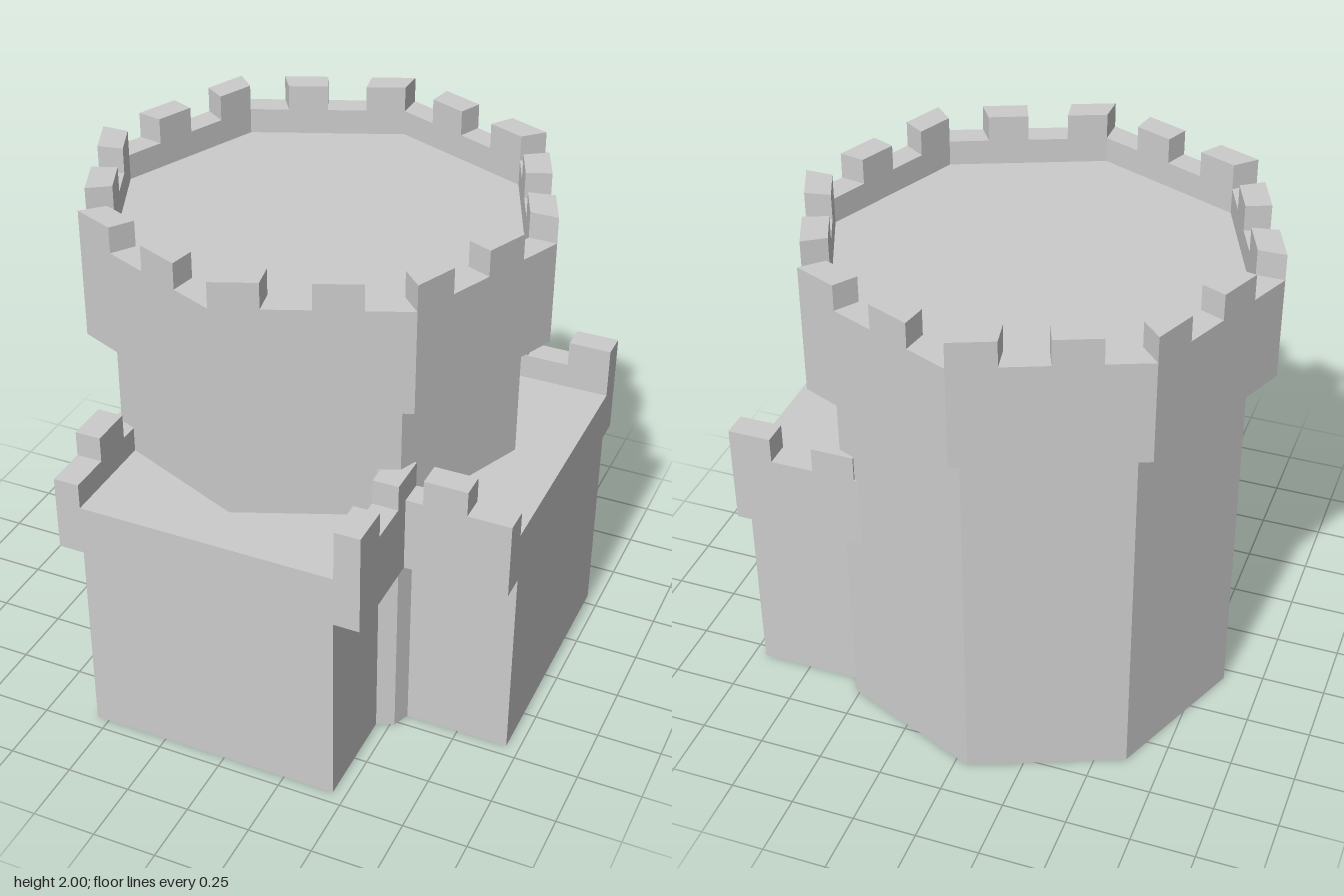
import * as THREE from 'three';

const SIDES = 8, R_SHAFT = 0.8, R_TOP = 0.905;
const mat = new THREE.MeshStandardMaterial({ color: 0xcccccc, flatShading: true });

function add(parent, name, geometry) {
  const mesh = new THREE.Mesh(geometry, mat);
  mesh.name = name;
  parent.add(mesh);
  return mesh;
}

// Box given by its extents
function block(x0, x1, y0, y1, z0, z1) {
  return new THREE.BoxGeometry(x1 - x0, y1 - y0, z1 - z0)
    .translate((x0 + x1) / 2, (y0 + y1) / 2, (z0 + z1) / 2);
}

// Octagonal solid of revolution, profile listed from the bottom up
function octagon(profile) {
  return new THREE.LatheGeometry(profile.map(([r, y]) => new THREE.Vector2(r, y)), SIDES);
}

// Merlon covering the fraction t0..t1 of one octagon side, mitred towards the centre
function merlonGeometry(t0, t1) {
  const a = Math.PI * 2 / SIDES;
  const at = (r, t) => new THREE.Vector2(r * t * Math.sin(a), -r * (1 - t + t * Math.cos(a)));
  const shape = new THREE.Shape([at(R_TOP, t0), at(R_TOP, t1), at(R_SHAFT, t1), at(R_SHAFT, t0)]);
  return new THREE.ExtrudeGeometry(shape, { depth: 0.1, bevelEnabled: false })
    .rotateX(-Math.PI / 2).translate(0, 1.9, 0);
}

// Square wing reaching out along +z with an overhanging parapet on each flank
function createWing() {
  const wing = new THREE.Group();
  add(wing, 'wingBody', block(-0.5, 0.5, 0, 1, 0, 1));
  for (const side of [-1, 1]) {
    const x0 = side > 0 ? 0.5 : -0.6, x1 = x0 + 0.1;
    add(wing, 'wingParapet', block(x0, x1, 0.8, 1.1, 0, 1));
    // Merlons alternate with gaps; the two flanks are offset by one step
    for (let i = side > 0 ? 3 : 2; i < 6; i += 2) {
      add(wing, 'wingMerlon', block(x0, x1, 1.1, 1.2, i / 6, (i + 1) / 6));
    }
  }
  return wing;
}

export function createModel() {
  const model = new THREE.Group();
  model.name = 'castleTower';

  const tower = new THREE.Group();
  tower.name = 'tower';
  tower.position.set(-0.05, 0, -0.05);
  model.add(tower);

  // Shaft and the wider crown with its sunken roof
  add(tower, 'shaft', octagon([[0, 0], [R_SHAFT, 0], [R_SHAFT, 1.5]]));
  add(tower, 'crown', octagon([
    [0, 1.5], [R_TOP, 1.5], [R_TOP, 1.9], [R_SHAFT, 1.9], [R_SHAFT, 1.8], [0, 1.8],
  ]));

  // Two merlons on every side of the crown
  const merlons = [merlonGeometry(0, 0.25), merlonGeometry(0.5, 0.75)];
  for (let i = 0; i < SIDES; i++) {
    for (const g of merlons) {
      add(tower, 'crownMerlon', g).rotation.y = i * Math.PI * 2 / SIDES;
    }
  }

  // Front wing and the same wing turned to the left side
  ['frontWing', 'leftWing'].forEach((name, i) => {
    const wing = createWing();
    wing.name = name;
    wing.rotation.y = i * Math.PI / 2;
    tower.add(wing);
  });

  return model;
}
